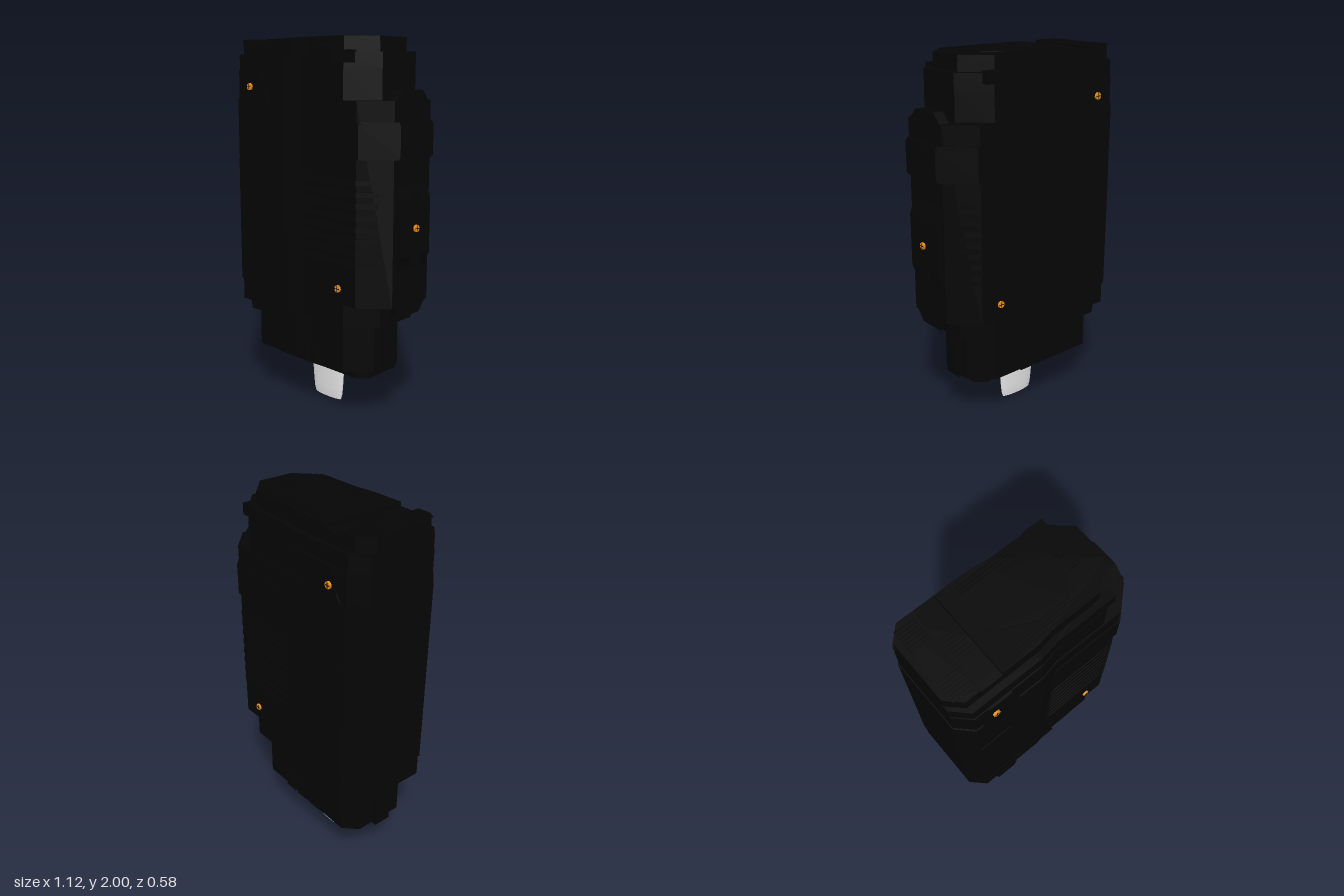
import * as THREE from 'three';

const mat = (name, color) => {
  const m = new THREE.MeshStandardMaterial({ color });
  m.name = name;
  return m;
};

export function createModel() {
  const group = new THREE.Group();
  const black = mat('black casing', 0x050505);
  const orange = mat('orange screw', 0xf29412);
  const metal = mat('pale metal', 0xe4e4e4);

  const add = (name, geo, m = black) => {
    const mesh = new THREE.Mesh(geo, m);
    mesh.name = name;
    group.add(mesh);
  };
  const extrude = (pts, depth) => new THREE.ExtrudeGeometry(
    new THREE.Shape(pts.map(p => new THREE.Vector2(p[0], p[1]))), { depth, bevelEnabled: false });

  // Vertical prism from a plan outline of [x, z] points
  const prism = (name, pts, y0, y1) => add(name, extrude(pts.map(([x, z]) => [x, -z]), y1 - y0)
    .rotateX(-Math.PI / 2).translate(0, y0, 0));
  // Plate in the front plane from [x, y] points, on both faces
  const plates = (name, pts, z0, z1) => {
    for (const z of [z0, -z1]) add(name, extrude(pts, z1 - z0).translate(0, 0, z));
  };
  const box = (name, x, y, z, w, h, d) =>
    add(name, new THREE.BoxGeometry(w, h, d).translate(x, y, z));
  const mirrorZ = half => [...half, ...half.slice().reverse().map(([x, z]) => [x, -z])];
  // Casing outline: chamfered ends and a slight waist at x = 0
  const plan = (x0, x1, za, zb, c0, c1) => mirrorZ([
    [x0, za - c0], [x0 + c0, za], [-0.1, za], [0, zb], [x1 - c1, zb], [x1, zb - c1 * 0.9]]);
  // Strip that follows the side and front corner
  const strip = (name, side, outer, t, y0, y1) => {
    const inner = outer.slice().reverse().map(([x, z]) => [x - t * 0.5, z - t]);
    prism(name, [...outer, ...inner].map(([x, z]) => [x, z * side]), y0, y1);
  };

  // Stacked casing
  prism('bottomPlug', plan(-0.4, 0.29, 0.105, 0.1, 0.03, 0.05), 0.215, 0.29);
  prism('lowerBody', plan(-0.475, 0.365, 0.21, 0.2, 0.07, 0.12), 0.28, 0.56);
  prism('lowerCollar', plan(-0.555, 0.43, 0.27, 0.25, 0.075, 0.14), 0.55, 0.68);
  prism('mainBody', plan(-0.56, 0.52, 0.276, 0.258, 0.075, 0.135), 0.67, 1.69);
  prism('upperCollar', plan(-0.555, 0.43, 0.27, 0.25, 0.075, 0.14), 1.68, 1.84);
  prism('upperStep', plan(-0.555, 0.43, 0.264, 0.248, 0.075, 0.14), 1.84, 1.92);
  prism('topCap', plan(-0.555, 0.39, 0.23, 0.215, 0.07, 0.13), 1.92, 1.975);

  // Guide fins on the ends of the lower body
  box('rearFin', -0.485, 0.42, 0, 0.04, 0.28, 0.1);
  box('frontFin', 0.37, 0.42, 0, 0.04, 0.28, 0.1);

  // Top face: two raised slabs either side of a shallow channel
  prism('topRearSlab', mirrorZ([[-0.555, 0.16], [-0.485, 0.23], [-0.405, 0.23]]), 1.97, 1.996);
  prism('topFrontSlab', mirrorZ([[-0.29, 0.23], [-0.1, 0.23], [0, 0.215],
    [0.26, 0.215], [0.39, 0.1]]), 1.97, 1.996);
  for (let i = 0; i < 7; i++) {
    for (const s of [1, -1]) {
      const z = 0.09 + i * 0.018;
      const x0 = -0.2 + (0.145 - Math.min(z, 0.145)) * -1, x1 = 0.38 - (z - 0.09);
      box('topRearRib', -0.47, 1.997, s * z, 0.11, 0.006, 0.007);
      if (z > 0.15) box('topFrontRib', (x0 + x1) / 2, 1.997, s * z, x1 - x0, 0.006, 0.006);
    }
    box('channelRib', -0.347, 1.976, (i - 3) * 0.02, 0.09, 0.006, 0.008);
    box('slotRib', 0.26, 1.997, (i - 3) * 0.016, 0.06, 0.006, 0.007);
  }
  prism('topPanel', mirrorZ([[-0.22, 0.05], [-0.03, 0.145], [0.14, 0.145], [0.22, 0.06]]), 1.985, 2.0);

  // Trapezoid end tabs above and below the front edge
  for (const [name, base, tip] of [['upperEndTab', 1.68, 1.74], ['lowerEndTab', 0.68, 0.612]]) {
    const g = extrude([[-0.13, base], [0.13, base], [0.075, tip], [-0.075, tip]], 0.055);
    add(name, g.rotateY(Math.PI / 2).translate(0.463, 0, 0));
  }

  // Belt wrapped round the front half
  const wrap = (x, z) => mirrorZ([[-0.05, z - 0.002], [0, z], [0.4, z], [x, 0.125]]);
  prism('belt', wrap(0.55, 0.262), 1.42, 1.58);
  prism('beltEdge', wrap(0.542, 0.26), 1.41, 1.59);

  // Tapered spine on the front edge, with a slim centre bar
  add('spine', extrude([[0.5, 0.85], [0.52, 0.86], [0.547, 0.93],
    [0.547, 1.21], [0.52, 1.28], [0.5, 1.29]], 0.23).translate(0, 0, -0.115));
  box('spineBar', 0.546, 1.06, 0, 0.008, 0.36, 0.07);

  // Grip ribs on both sides, running round the corner
  for (let i = 0; i < 8; i++) {
    const y = 0.88 + i * 0.058;
    for (const s of [1, -1]) {
      strip('gripRib', s, [[-0.05, 0.266], [0.385, 0.262], [0.465, 0.19]], 0.02, y, y + 0.026);
    }
  }

  // Raised side panels and tabs at the rear
  plates('sidePanel', [[-0.484, 0.7], [-0.3, 0.7], [-0.3, 0.91], [-0.23, 0.93], [-0.23, 1.1],
    [-0.3, 1.13], [-0.3, 1.36], [-0.484, 1.36]], 0.27, 0.279);
  plates('upperTab', [[-0.46, 1.67], [-0.42, 1.72], [-0.405, 1.84], [-0.28, 1.84],
    [-0.26, 1.72], [-0.22, 1.67]], 0.25, 0.278);
  plates('lowerTab', [[-0.46, 0.68], [-0.42, 0.63], [-0.4, 0.51], [-0.28, 0.51],
    [-0.26, 0.6], [-0.22, 0.68]], 0.25, 0.277);
  plates('upperLatch', [[0.22, 1.87], [0.33, 1.87], [0.33, 1.93], [0.22, 1.93]], 0.2, 0.25);

  // Small teeth along the bottom edge
  for (const x of [-0.17, -0.06, 0.04]) {
    plates('bottomTooth', [[x - 0.04, 0.28], [x + 0.04, 0.28], [x + 0.025, 0.36],
      [x - 0.025, 0.36]], 0.19, 0.213);
  }
  box('bottomClip', 0.3, 0.27, 0, 0.03, 0.04, 0.14);

  // Metal tongue: flattened taper that narrows faster near its tip
  const tongue = new THREE.CylinderGeometry(1, 1, 0.23, 40, 8);
  const p = tongue.attributes.position;
  for (let i = 0; i < p.count; i++) {
    const y = Math.max(0, p.getY(i) + 0.115);
    const k = Math.sqrt(Math.min(1, y / 0.22));
    p.setXYZ(i, -0.066 + p.getX(i) * (0.1 + 0.024 * k), y, p.getZ(i) * (0.019 + 0.012 * k));
  }
  tongue.computeVertexNormals();
  add('tongue', tongue, metal);

  // Cross-head screws
  const screw = (x, y, z, ry) => {
    const s = new THREE.Group();
    s.name = 'screw';
    const head = new THREE.Mesh(
      new THREE.CylinderGeometry(0.018, 0.02, 0.03, 16).rotateX(Math.PI / 2), orange);
    head.name = 'screwHead';
    s.add(head);
    for (const [w, h] of [[0.03, 0.004], [0.004, 0.03]]) {
      const slot = new THREE.Mesh(new THREE.BoxGeometry(w, h, 0.002), black);
      slot.name = 'screwSlot';
      slot.position.z = 0.0148;
      s.add(slot);
    }
    s.position.set(x, y, z);
    s.rotation.y = ry;
    group.add(s);
  };
  for (const s of [1, -1]) {
    const ry = s > 0 ? 0 : Math.PI;
    screw(-0.375, 1.75, s * 0.274, ry);
    screw(0.265, 0.75, s * 0.253, ry);
  }
  screw(0.545, 1.065, 0, Math.PI / 2);

  return group;
}
